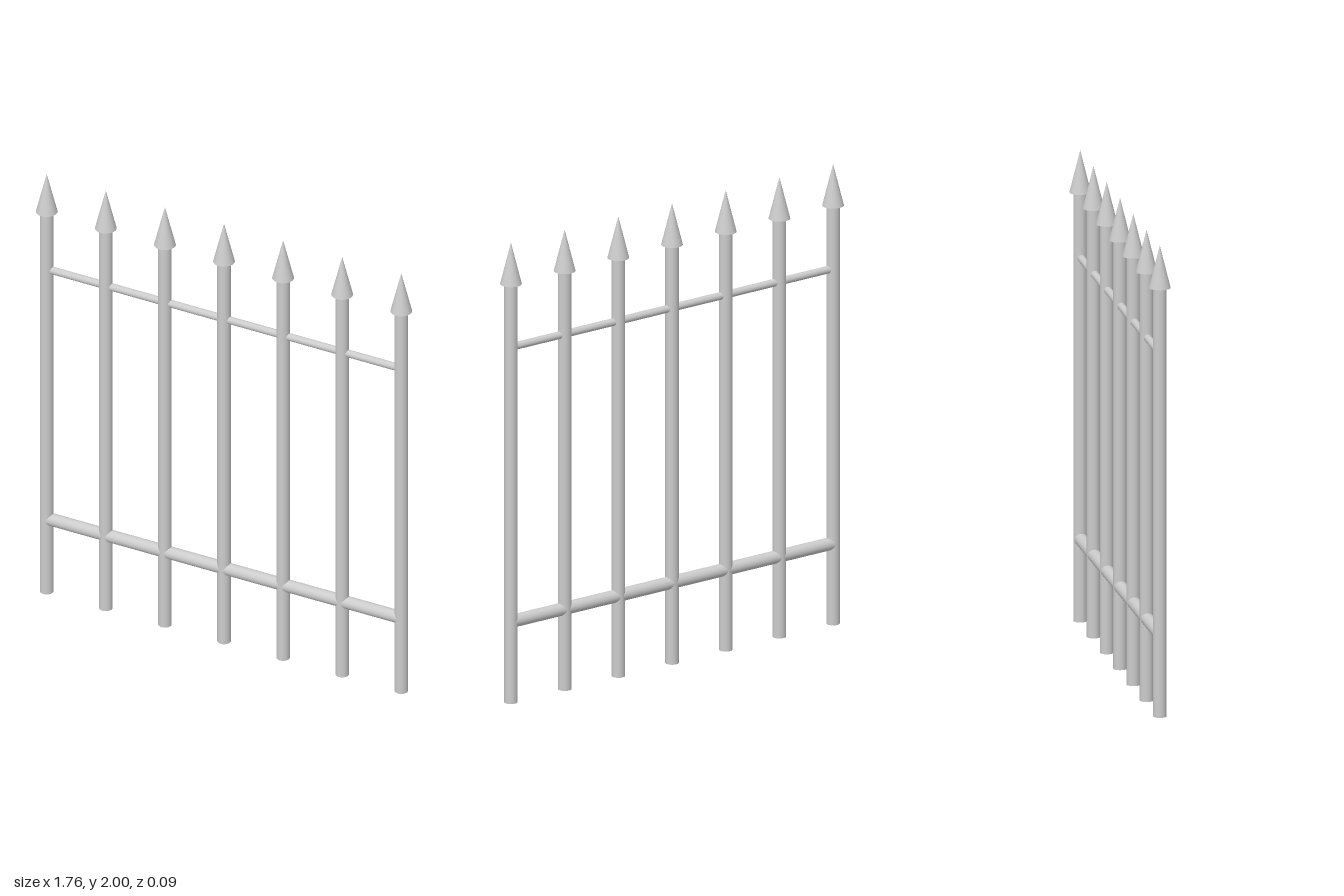
import * as THREE from 'three';

export function createModel() {
  const group = new THREE.Group();
  group.name = 'spearFence';
  const material = new THREE.MeshStandardMaterial({ color: 0xcccccc });

  const add = (name, geometry, x, y) => {
    const mesh = new THREE.Mesh(geometry, material);
    mesh.name = name;
    mesh.position.set(x, y, 0);
    group.add(mesh);
  };

  const count = 7, spacing = 0.278;
  const shaftHeight = 1.82, tipHeight = 0.18;
  const span = spacing * (count - 1);

  // Upright pickets, each with a conical spear tip
  const shaft = new THREE.CylinderGeometry(0.028, 0.028, shaftHeight, 32);
  const tip = new THREE.ConeGeometry(0.045, tipHeight, 32);
  for (let i = 0; i < count; i++) {
    const x = (i - (count - 1) / 2) * spacing;
    add('picket' + (i + 1), shaft, x, shaftHeight / 2);
    add('spearTip' + (i + 1), tip, x, shaftHeight + tipHeight / 2);
  }

  // Horizontal rails, ending inside the outer pickets
  const rail = (radius) => new THREE.CylinderGeometry(radius, radius, span, 32).rotateZ(Math.PI / 2);
  add('upperRail', rail(0.016), 0, 1.545);
  add('lowerRail', rail(0.027), 0, 0.35);

  return group;
}
